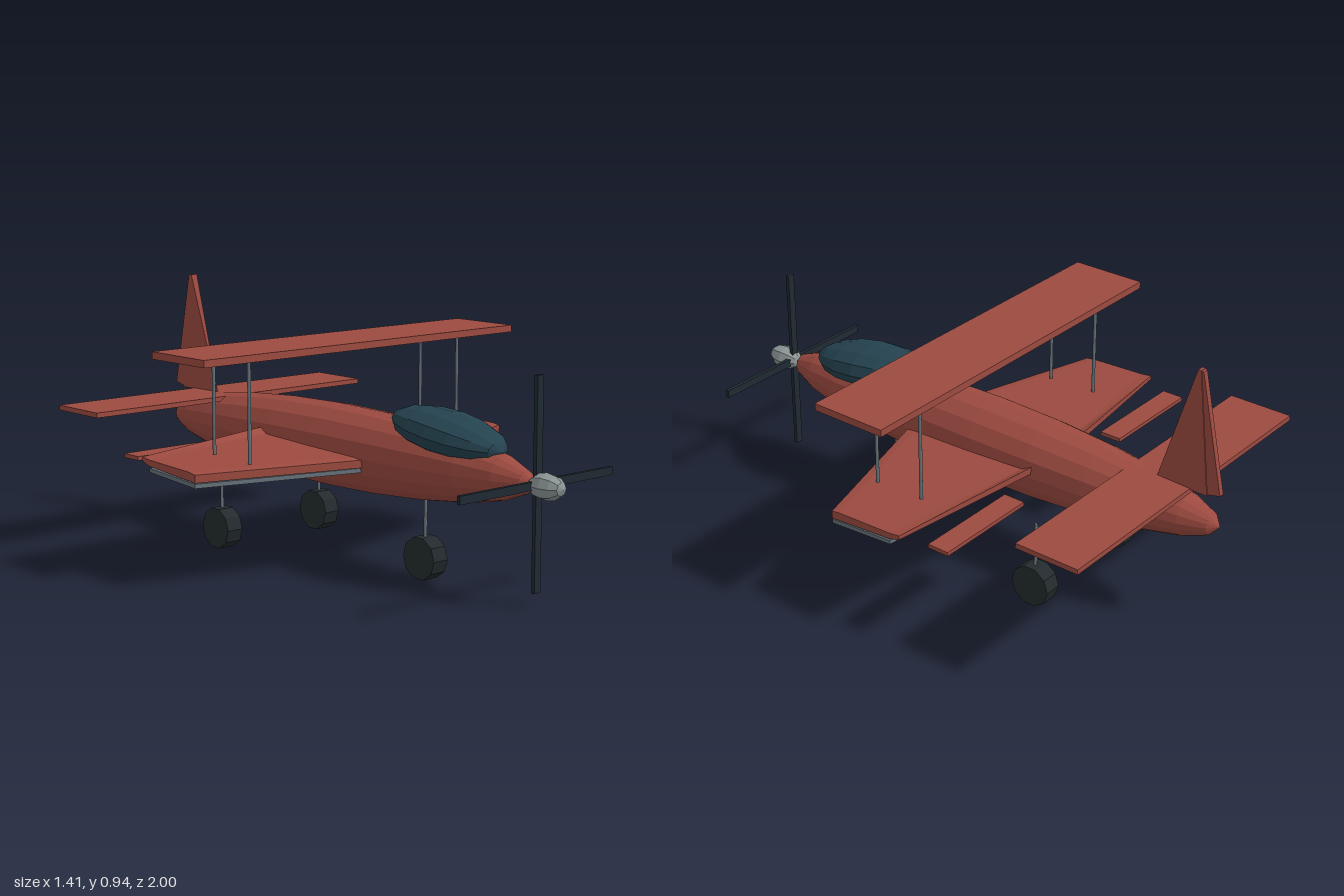
import * as THREE from 'three';

const paint = (color) => new THREE.MeshStandardMaterial({ color, flatShading: true });

export function createModel() {
  const model = new THREE.Group();
  const red = paint(0x9c4a40), dark = paint(0x1f2a32), tyre = paint(0x232b2e);
  const glass = paint(0x24424f), metal = paint(0x66737a), silver = paint(0x8d9897);

  const add = (name, geometry, material, x = 0, y = 0, z = 0) => {
    const mesh = new THREE.Mesh(geometry, material);
    mesh.name = name;
    mesh.position.set(x, y, z);
    model.add(mesh);
    return mesh;
  };
  const box = (name, w, h, d, material, x, y, z) =>
    add(name, new THREE.BoxGeometry(w, h, d), material, x, y, z);
  const rod = (name, x, z, y0, y1) =>
    add(name, new THREE.CylinderGeometry(0.006, 0.006, y1 - y0, 14), metal, x, (y0 + y1) / 2, z);
  // Faceted ellipsoid with its poles along z
  const ellipsoid = (name, rx, ry, rz, material, y, z, sides, rings) => {
    const g = new THREE.SphereGeometry(1, sides, rings);
    g.rotateX(Math.PI / 2);
    g.scale(rx, ry, rz);
    return add(name, g, material, 0, y, z);
  };

  // Solid between two matching clockwise [z, y] sections at x0 and x1; side mirrors it
  const loft = (root, tip, x0, x1, side) => {
    const n = root.length, pos = [], idx = [];
    for (const [sec, x] of [[root, x0], [tip, x1]])
      for (const [z, y] of sec) pos.push(side * x, y, z);
    const tri = (a, b, c) => (side > 0 ? idx.push(a, b, c) : idx.push(a, c, b));
    for (let i = 0; i < n; i++) {
      const j = (i + 1) % n;
      tri(i, j, n + i);
      tri(j, n + j, n + i);
    }
    // End caps
    const outline = root.map(([z, y]) => new THREE.Vector2(z, y));
    for (const [a, b, c] of THREE.ShapeUtils.triangulateShape(outline, [])) {
      const clockwise = THREE.ShapeUtils.area([outline[a], outline[b], outline[c]]) < 0;
      const [p, q] = clockwise ? [b, c] : [c, b];
      tri(a, q, p);
      tri(n + a, n + p, n + q);
    }
    const g = new THREE.BufferGeometry();
    g.setAttribute('position', new THREE.Float32BufferAttribute(pos, 3));
    g.setIndex(idx);
    const flat = g.toNonIndexed();
    flat.computeVertexNormals();
    return flat;
  };

  // Body, with the canopy pitched nose-down
  ellipsoid('fuselage', 0.143, 0.148, 0.935, red, 0.402, -0.06, 16, 12);
  ellipsoid('canopy', 0.125, 0.075, 0.245, glass, 0.514, 0.492, 12, 8).rotation.x = 0.13;
  ellipsoid('spinner', 0.045, 0.045, 0.07, silver, 0.402, 0.93, 8, 6);

  // Propeller
  box('verticalBlades', 0.028, 0.7, 0.014, dark, 0, 0.402, 0.89);
  box('horizontalBlades', 0.7, 0.028, 0.014, dark, 0, 0.402, 0.89);

  // Upper wing and tailplane
  box('upperWing', 1.412, 0.025, 0.28, red, 0, 0.767, -0.04);
  box('tailplane', 1.235, 0.018, 0.237, red, 0, 0.498, -0.76);

  // Lower wings: section with an upturned trailing edge, and a grey panel below
  const wingSection = (front, rear, lift) => [
    [front, 0.373], [rear + 0.04, 0.392], [rear, 0.397 + lift * 0.5],
    [rear, 0.405 + lift], [rear + 0.04, 0.408 + lift * 0.4], [front - 0.03, 0.405], [front, 0.4],
  ];
  const panelSection = (front, rear, rearY) => [
    [front, 0.355], [rear, rearY - 0.014], [rear, rearY], [front, 0.37],
  ];
  for (const side of [1, -1]) {
    add('lowerWing', loft(wingSection(0.23, -0.34, 0.038), wingSection(0.045, -0.245, 0.014), 0.07, 0.706, side), red);
    add('wingUnderside', loft(panelSection(0.22, -0.29, 0.396), panelSection(0.045, -0.205, 0.386), 0.07, 0.706, side), metal);
    box('flap', 0.392, 0.014, 0.08, red, side * 0.468, 0.395, -0.37);
    for (const z of [0.045, -0.145]) rod('wingStrut', side * 0.48, z, 0.395, 0.756);
  }

  // Tail fin, pinched to a thin edge at its front foot, with a rudder strip behind
  const plate = (points, depth) => {
    const shape = new THREE.Shape(points.map(([z, y]) => new THREE.Vector2(-z, y)));
    const g = new THREE.ExtrudeGeometry(shape, { depth, bevelEnabled: false });
    g.translate(0, 0, -depth / 2);
    g.rotateY(Math.PI / 2);
    const p = g.attributes.position;
    for (let i = 0; i < p.count; i++) if (p.getZ(i) > -0.8) p.setX(i, p.getX(i) * 0.1);
    return g;
  };
  add('fin', plate([[-0.745, 0.5], [-0.945, 0.505], [-0.896, 0.94], [-0.884, 0.94]], 0.026), red);
  add('rudder', plate([[-0.94, 0.508], [-0.992, 0.52], [-0.904, 0.936], [-0.893, 0.94]], 0.02), red);

  // Landing gear
  for (const [x, z, top] of [[0, 0.385, 0.29], [0.23, -0.43, 0.305], [-0.23, -0.43, 0.305]]) {
    const wheel = new THREE.CylinderGeometry(0.075, 0.075, 0.064, 10);
    wheel.rotateZ(Math.PI / 2);
    add('wheel', wheel, tyre, x, 0.075, z);
    rod('wheelLeg', x, z, 0.1, top);
  }
  return model;
}
